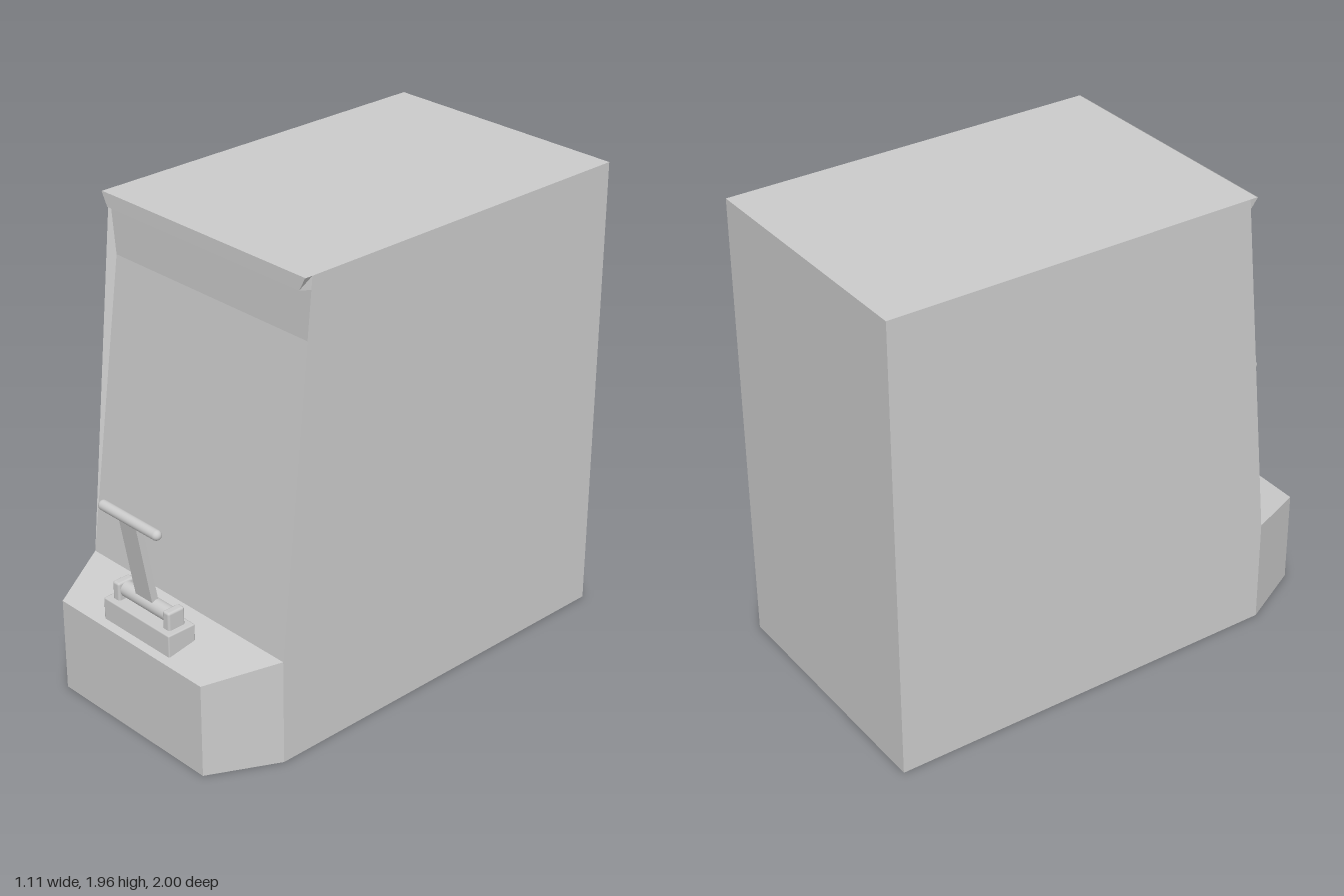
import * as THREE from 'three';
import { RoundedBoxGeometry } from 'three/addons/geometries/RoundedBoxGeometry.js';

const material = new THREE.MeshStandardMaterial({ color: 0xcccccc, side: THREE.DoubleSide });

// Flat convex panels, each given as a list of corners
function panels(name, faces) {
  const pos = [];
  for (const f of faces)
    for (let i = 1; i < f.length - 1; i++) pos.push(...f[0], ...f[i], ...f[i + 1]);
  const g = new THREE.BufferGeometry();
  g.setAttribute('position', new THREE.Float32BufferAttribute(pos, 3));
  g.computeVertexNormals();
  return part(name, g);
}

function part(name, geometry, x = 0, y = 0, z = 0) {
  const m = new THREE.Mesh(geometry, material);
  m.name = name;
  m.position.set(x, y, z);
  return m;
}

// Panel spanning left to right between profile points [halfWidth, y, z]
function span(a, b) {
  return [[-a[0], a[1], a[2]], [a[0], a[1], a[2]], [b[0], b[1], b[2]], [-b[0], b[1], b[2]]];
}

// The same panel on both sides; corners are given for +x, counter-clockwise
function mirrored(corners) {
  return [corners, corners.map(([x, y, z]) => [-x, y, z]).reverse()];
}

export function createModel() {
  const group = new THREE.Group();
  const W = 0.555, H = 1.96;

  // Cabinet shell, open underneath
  group.add(panels('cabinetShell', [
    ...mirrored([[W, 0, 0.72], [W, 0, -1], [W, H, -1], [W, H, 0.568], [W, 0.45, 0.72]]),
    span([W, H, -1], [W, 0, -1]),
    span([W, H, 0.6], [W, H, -1]),
  ]));

  // Front panel, sunk slightly between the side edges
  const low = [W, 0.45, 0.72], bend = [0.53, 1.7, 0.565], top = [W, H, 0.568];
  group.add(panels('frontPanel', [
    span(low, bend),
    span(bend, top),
    ...mirrored([low, top, bend]),
  ]));

  // Mitred lip above the front panel
  const lipTop = [W, H, 0.603], lipLow = [0.525, 1.905, 0.603], lipBack = [0.55, 1.905, 0.568];
  group.add(panels('topLip', [
    span(lipLow, lipTop),
    span(lipBack, lipLow),
    ...mirrored([lipLow, lipBack, top, lipTop]),
  ]));

  // Control base with cut corners and a sloping deck
  const edge = [0.41, 0.4, 1], foot = [0.41, 0, 1];
  group.add(panels('controlBase', [
    span(foot, edge),
    span(edge, low),
    ...mirrored([foot, [W, 0, 0.72], low, edge]),
  ]));

  // Raised floor and inner sloping panel
  group.add(panels('floor', [span([W, 0.055, -1], [W, 0.055, 0.21])]));
  group.add(panels('innerPanel', [span([W, 0.055, 0.57], [W, 0.25, 0.44])]));

  // Lever pedestal
  const lever = new THREE.Group();
  lever.name = 'lever';
  lever.add(part('leverPedestal', new RoundedBoxGeometry(0.385, 0.12, 0.13, 1, 0.006), 0, 0.44, 0.9));

  // Pivot roller between two brackets
  for (const s of [-1, 1])
    lever.add(part('pivotBracket', new RoundedBoxGeometry(0.038, 0.085, 0.08, 2, 0.01), s * 0.147, 0.533, 0.9));
  const roller = part('pivotRoller', new THREE.CylinderGeometry(0.032, 0.032, 0.27, 20), 0, 0.54, 0.9);
  roller.rotation.z = Math.PI / 2;
  lever.add(roller);

  // Leaning arm and crossbar handle
  const from = new THREE.Vector3(0, 0.54, 0.902), to = new THREE.Vector3(0, 0.923, 0.972);
  const arm = part('leverArm', new THREE.BoxGeometry(0.098, from.distanceTo(to), 0.03));
  arm.position.copy(from).lerp(to, 0.5);
  arm.rotation.x = Math.atan2(to.z - from.z, to.y - from.y);
  lever.add(arm);
  const handle = part('leverHandle', new THREE.CapsuleGeometry(0.021, 0.305, 6, 20), 0, 0.924, 0.973);
  handle.rotation.z = Math.PI / 2;
  lever.add(handle);
  group.add(lever);

  return group;
}
